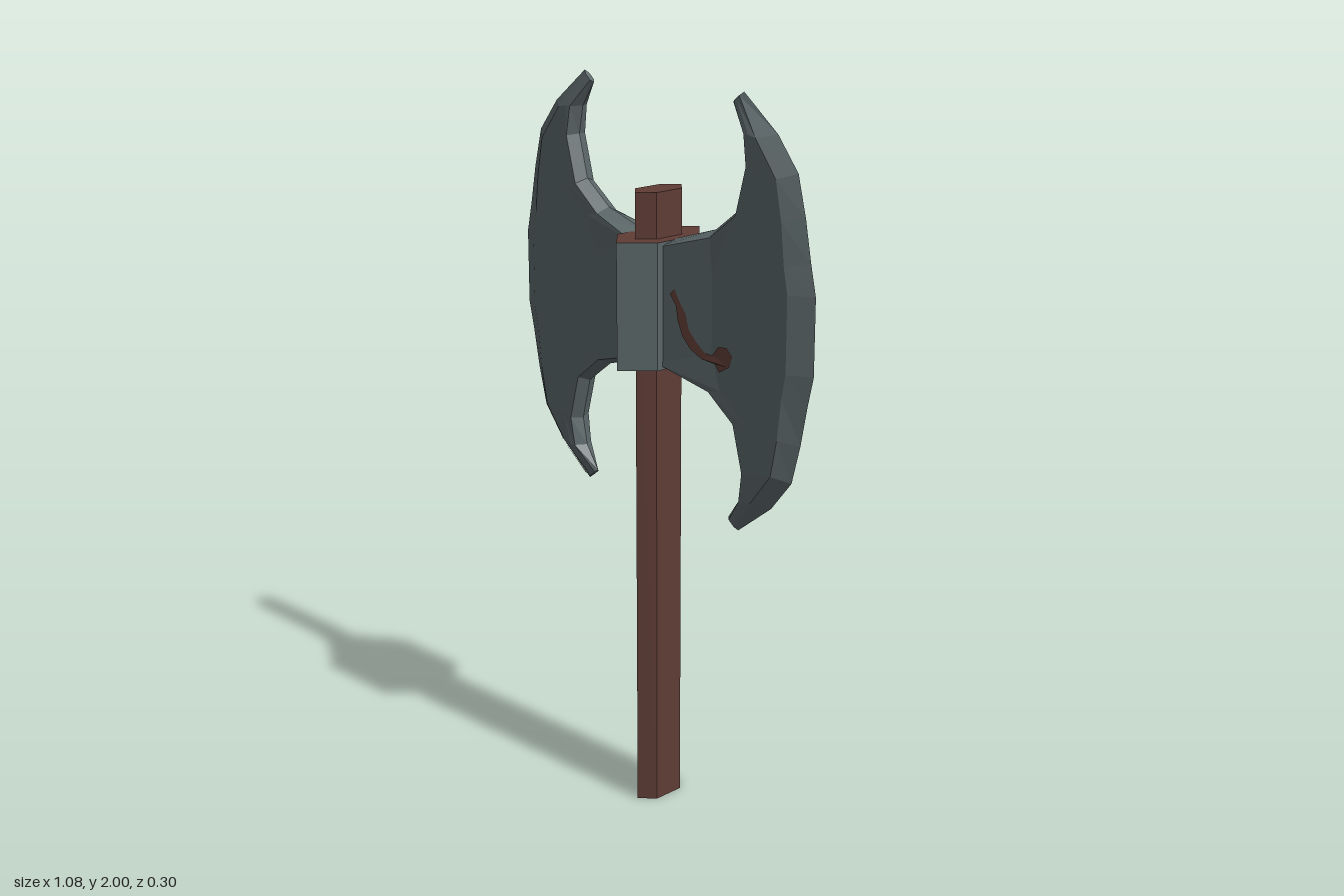
import * as THREE from 'three';

const MID_Y = 1.435; // height of the blades' centre line

// Half of a blade, horn tip to middle. Each row is a cross-section:
// back edge, back shoulder, face, bevel ridge, cutting edge (x, y pairs),
// then half thickness at the shoulder and across the face.
const SECTIONS = [
  [0.255, 0.535, 0.262, 0.541, 0.27, 0.548, 0.28, 0.556, 0.29, 0.565, 0.007, 0.007],
  [0.30, 0.47, 0.318, 0.47, 0.335, 0.47, 0.36, 0.465, 0.405, 0.475, 0.03, 0.032],
  [0.315, 0.395, 0.33, 0.392, 0.36, 0.385, 0.43, 0.375, 0.473, 0.39, 0.033, 0.033],
  [0.285, 0.28, 0.297, 0.268, 0.34, 0.265, 0.45, 0.275, 0.50, 0.285, 0.033, 0.033],
  [0.20, 0.215, 0.21, 0.20, 0.25, 0.19, 0.462, 0.165, 0.52, 0.18, 0.035, 0.033],
  [0.04, 0.165, 0.04, 0.152, 0.22, 0.10, 0.475, 0.10, 0.538, 0.10, 0.06, 0.033],
];

function flatGeometry(triangles) {
  const geo = new THREE.BufferGeometry();
  geo.setAttribute('position', new THREE.Float32BufferAttribute(triangles.flat(2), 3));
  geo.computeVertexNormals();
  return geo;
}

// Closed eight-point loop around one blade section
function sectionLoop(s, sign) {
  const p = (i, z) => [s[2 * i], MID_Y + sign * s[2 * i + 1], z];
  const [zs, zf] = [s[10], s[11]];
  return [p(0, 0), p(1, zs), p(2, zf), p(3, zf), p(4, 0), p(3, -zf), p(2, -zf), p(1, -zs)];
}

function bladeGeometry() {
  const loops = [
    ...SECTIONS.map((s) => sectionLoop(s, 1)),
    ...[...SECTIONS].reverse().map((s) => sectionLoop(s, -1)),
  ];
  const tris = [];
  for (let k = 0; k < loops.length - 1; k++) {
    for (let j = 0; j < 8; j++) {
      const n = (j + 1) % 8;
      const a = loops[k][j], b = loops[k][n], c = loops[k + 1][n], d = loops[k + 1][j];
      tris.push([a, d, c], [a, c, b]);
    }
  }
  // Blunt horn tips
  const first = loops[0], last = loops[loops.length - 1];
  for (let j = 1; j < 7; j++) {
    tris.push([first[0], first[j], first[j + 1]], [last[0], last[j + 1], last[j]]);
  }
  return flatGeometry(tris);
}

// Upright six-sided prism with its points at front and back
function hexPrism(halfX, sideZ, pointZ, y0, y1) {
  const shape = new THREE.Shape([
    [0, -pointZ], [halfX, -sideZ], [halfX, sideZ], [0, pointZ], [-halfX, sideZ], [-halfX, -sideZ],
  ].map(([x, y]) => new THREE.Vector2(x, y)));
  const geo = new THREE.ExtrudeGeometry(shape, { depth: y1 - y0, bevelEnabled: false });
  return geo.rotateX(-Math.PI / 2).translate(-0.01, y0, 0);
}

// Smear lying on a horn's bevel, reaching from the cutting edge toward the ridge
function hornStain(ySign, zSign, reach, from, to) {
  const at = (along, across) => {
    const mix = THREE.MathUtils.lerp;
    const [a, b] = SECTIONS;
    const point = (s) => [mix(s[8], s[6], across), mix(s[9], s[7], across), mix(0, s[11], across)];
    const p = point(a), q = point(b);
    return [-mix(p[0], q[0], along), MID_Y + ySign * mix(p[1], q[1], along),
      zSign * (mix(p[2], q[2], along) + 0.003)];
  };
  const a = at(from, 0), b = at(to, 0), c = at((from + to) / 2, reach), d = at(from, reach);
  return flatGeometry([[a, b, c], [a, c, d]]);
}

// Streak with a round blob at its end, laid on the tapering blade face
function faceStain() {
  const outline = [
    [0.09, 1.475], [0.105, 1.488], [0.12, 1.46], [0.14, 1.43], [0.15, 1.39], [0.175, 1.36],
    [0.20, 1.338], [0.225, 1.335], [0.245, 1.36], [0.275, 1.365], [0.295, 1.345],
    [0.285, 1.315], [0.25, 1.295], [0.235, 1.315], [0.19, 1.32], [0.155, 1.34],
    [0.13, 1.37], [0.115, 1.41], [0.11, 1.445],
  ].map(([x, y]) => new THREE.Vector2(x, y));
  const geo = new THREE.ShapeGeometry(new THREE.Shape(outline));
  const pos = geo.attributes.position;
  for (let i = 0; i < pos.count; i++) {
    const z = 0.06 - 0.15 * (pos.getX(i) - 0.04);
    pos.setZ(i, Math.max(0.033, z) + 0.003);
  }
  geo.computeVertexNormals();
  return geo;
}

export function createModel() {
  const steel = new THREE.MeshStandardMaterial({ color: 0x5b6668, flatShading: true });
  steel.name = 'steel';
  const brown = new THREE.MeshStandardMaterial({
    color: 0x5f3c35, flatShading: true, side: THREE.DoubleSide,
  });
  brown.name = 'reddish brown';

  const model = new THREE.Group();
  model.name = 'doubleAxe';
  const add = (name, geometry, material) => {
    const mesh = new THREE.Mesh(geometry, material);
    mesh.name = name;
    model.add(mesh);
    return mesh;
  };

  // Shaft, and the collar with brown ends and steel sides
  add('handle', hexPrism(0.04, 0.045, 0.082, 0, 1.725), brown);
  add('collar', hexPrism(0.075, 0.075, 0.148, 1.268, 1.605), [brown, steel]);

  // Matching blades on both sides
  const blade = bladeGeometry();
  add('leftBlade', blade, steel);
  add('rightBlade', blade, steel).rotation.y = Math.PI;

  // Rusty smears
  add('faceStain', faceStain(), brown);
  add('lowerHornStain', hornStain(-1, 1, 0.5, 0.1, 1), brown);
  add('upperHornStain', hornStain(1, -1, 0.9, 0.05, 0.95), brown);

  return model;
}
